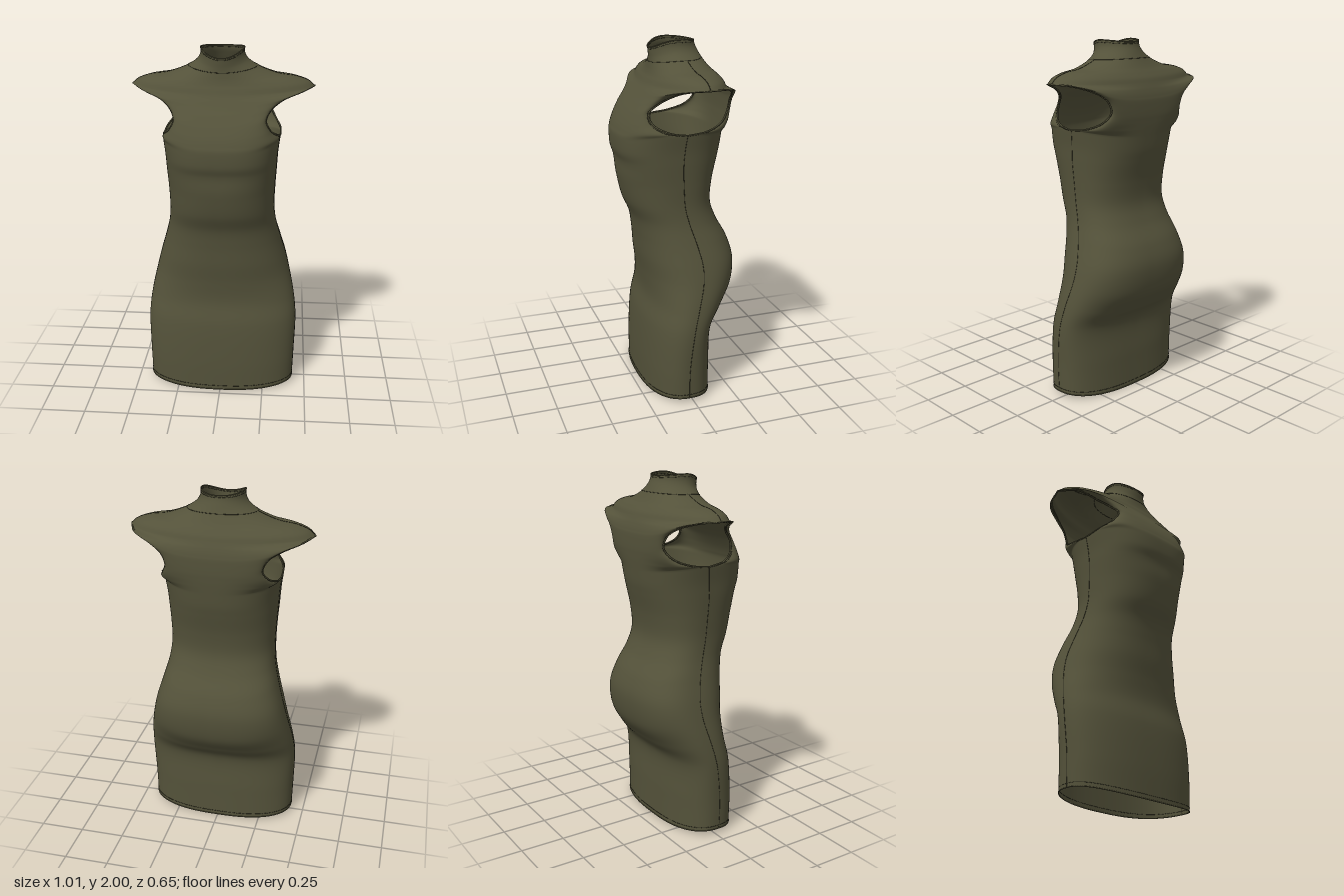
import * as THREE from 'three';
import { mergeVertices } from 'three/addons/utils/BufferGeometryUtils.js';

const SUB = 8;   // rows between two key rows
const COLS = 28; // columns from centre line to side edge

// Side edge, as [x, y, z]: side seam, then armhole (front and back), then shoulder seam and collar
const sideSeam = [
  [.425, .035, .025], [.43, .2, .025], [.435, .43, 0], [.42, .56, -.03], [.39, .7, -.065],
  [.365, .8, -.07], [.33, .92, -.045], [.305, 1.02, -.015], [.295, 1.12, .01], [.298, 1.24, .02],
  [.305, 1.36, .025], [.31, 1.44, .02], [.322, 1.53, .01],
];
const armholeFront = [
  [.322, 1.53, .01], [.312, 1.548, .11], [.27, 1.59, .185], [.245, 1.645, .2], [.27, 1.695, .155],
  [.33, 1.738, .105], [.43, 1.775, .06], [.5, 1.79, -.045],
];
const armholeBack = [
  [.322, 1.53, .01], [.318, 1.545, -.1], [.285, 1.585, -.195], [.26, 1.64, -.235], [.285, 1.7, -.236],
  [.35, 1.745, -.22], [.45, 1.782, -.16], [.5, 1.79, -.045],
];
const shoulder = [
  [.5, 1.79, -.045], [.47, 1.818, -.043], [.4, 1.843, -.04], [.31, 1.856, -.037], [.24, 1.878, -.035],
  [.19, 1.9, -.033], [.14, 1.935, -.02], [.122, 1.965, -.01], [.118, 2, -.005],
];

// Centre lines, as [roundness of the cross-section, y, z]
const centreFront = [
  [2.4, .01, .21], [2.4, .2, .21], [2.4, .42, .197], [2.4, .56, .172], [2.4, .68, .178], [2.4, .8, .195],
  [2.4, .92, .207], [2.4, 1.02, .225], [2.4, 1.12, .268], [2.4, 1.24, .296], [2.7, 1.36, .308],
  [2.8, 1.42, .325], [2.8, 1.49, .327],
  [2.7, 1.53, .317], [2.6, 1.57, .3], [2.5, 1.62, .27], [2.4, 1.665, .237], [2.3, 1.7, .208],
  [2.1, 1.735, .18], [2, 1.77, .155],
  [2, 1.795, .143], [2, 1.815, .133], [2, 1.84, .125], [2, 1.86, .121], [2, 1.88, .118],
  [2, 1.905, .118], [2, 1.93, .12], [2, 1.955, .122],
];
const centreBack = [
  [2.6, .01, -.165], [2.6, .2, -.165], [2.6, .42, -.168], [2.7, .52, -.235], [2.8, .63, -.305], [2.8, .77, -.326],
  [2.7, .89, -.298], [2.6, 1.01, -.235], [2.5, 1.12, -.202], [2.5, 1.24, -.212], [2.5, 1.36, -.24],
  [2.5, 1.42, -.254], [2.5, 1.5, -.265],
  [2.5, 1.54, -.27], [2.6, 1.58, -.274], [2.8, 1.63, -.277], [2.8, 1.675, -.277], [2.6, 1.71, -.273],
  [2.3, 1.745, -.263], [2, 1.78, -.248],
  [2, 1.805, -.237], [2, 1.83, -.218], [2, 1.855, -.197], [2, 1.88, -.18], [2, 1.905, -.165],
  [2, 1.94, -.148], [2, 1.965, -.137], [2, 1.99, -.13],
];

// Row numbers of the main seams
const UNDERARM = 12 * SUB, TIP = 19 * SUB, NECK = 24 * SUB, TOP = 27 * SUB;

function sample(keys) {
  const curve = new THREE.CatmullRomCurve3(keys.map(k => new THREE.Vector3(...k)));
  return curve.getPoints((keys.length - 1) * SUB);
}

// Rows of one quarter panel: a rounded arc from the centre line to the side edge
function panelRows(centreKeys, armhole) {
  const centre = sample(centreKeys);
  const edge = [...sample(sideSeam), ...sample(armhole).slice(1), ...sample(shoulder).slice(1)];
  return centre.map((c, j) => {
    const e = edge[j], row = [];
    for (let i = 0; i <= COLS; i++) {
      const a = (i / COLS) * Math.PI / 2;
      const s = Math.sin(a), k = i === COLS ? 0 : Math.cos(a);
      row.push(new THREE.Vector3(
        e.x * Math.pow(s, 2 / c.x),
        c.y + (e.y - c.y) * s * s,
        e.z + (c.z - e.z) * Math.pow(k, 2 / c.x)));
    }
    return row;
  });
}

const mirror = p => new THREE.Vector3(-p.x, p.y, p.z);

// Four mirrored quarter panels welded into one smooth shell
function shellGeometry(front, back) {
  const positions = [], indices = [];
  for (const [rows, sx, flip] of [[front, 1, false], [front, -1, true], [back, 1, true], [back, -1, false]]) {
    const base = positions.length / 3, w = COLS + 1;
    rows.forEach(row => row.forEach(p => positions.push(sx * p.x, p.y, p.z)));
    for (let j = 0; j < rows.length - 1; j++) {
      for (let i = 0; i < COLS; i++) {
        const a = base + j * w + i, b = a + 1, c = b + w, d = a + w;
        if (flip) indices.push(a, c, b, a, d, c);
        else indices.push(a, b, c, a, c, d);
      }
    }
  }
  const geometry = new THREE.BufferGeometry();
  geometry.setAttribute('position', new THREE.Float32BufferAttribute(positions, 3));
  geometry.setIndex(indices);
  const welded = mergeVertices(geometry, 1e-5);
  welded.computeVertexNormals();
  return welded;
}

export function createModel() {
  const fabric = new THREE.MeshStandardMaterial({ color: 0x54523a, side: THREE.DoubleSide });
  fabric.name = 'olive fabric';
  const thread = new THREE.MeshStandardMaterial({ color: 0x2c2b1e });
  thread.name = 'dark thread';

  const dress = new THREE.Group();
  dress.name = 'dress';
  const front = panelRows(centreFront, armholeFront);
  const back = panelRows(centreBack, armholeBack);

  function add(name, geometry, material) {
    const mesh = new THREE.Mesh(geometry, material);
    mesh.name = name;
    dress.add(mesh);
  }
  function cord(name, points, radius, material, closed) {
    const path = new THREE.CatmullRomCurve3(points, closed);
    add(name, new THREE.TubeGeometry(path, points.length * 2, radius, 5, closed), material);
  }
  // Full horizontal loop around the dress at one row
  function loop(j) {
    const f = front[j], b = back[j];
    return [
      ...f, ...b.slice(0, -1).reverse(),
      ...b.slice(1).map(mirror), ...f.slice(1, -1).reverse().map(mirror),
    ];
  }
  // Closed armhole loop, some columns in from the edge
  function armLoop(inset) {
    const pick = rows => rows.slice(UNDERARM, TIP + 1).map(row => row[COLS - inset]);
    const f = pick(front), b = pick(back).reverse();
    return inset ? [...f, ...b] : [...f, ...b.slice(1, -1)];
  }

  add('dressShell', shellGeometry(front, back), fabric);

  // Rolled edges and stitching around hem and collar
  cord('hemEdge', loop(0), .003, fabric, true);
  cord('collarEdge', loop(TOP), .004, fabric, true);
  cord('hemStitch', loop(1), .0012, thread, true);
  cord('collarSeam', loop(NECK), .0015, thread, true);
  cord('collarStitch', loop(TOP - 3), .0012, thread, true);

  // Armhole binding, side seams and shoulder seams on both sides
  for (const [side, place] of [['left', p => p], ['right', mirror]]) {
    const edge = front.map(row => place(row[COLS]));
    cord(side + 'ArmholeBinding', armLoop(0).map(place), .005, fabric, true);
    cord(side + 'ArmholeStitch', armLoop(1).map(place), .0012, thread, true);
    cord(side + 'SideSeam', edge.slice(0, UNDERARM + 1), .0015, thread, false);
    cord(side + 'ShoulderSeam', edge.slice(TIP, NECK + 1), .0015, thread, false);
  }
  return dress;
}
